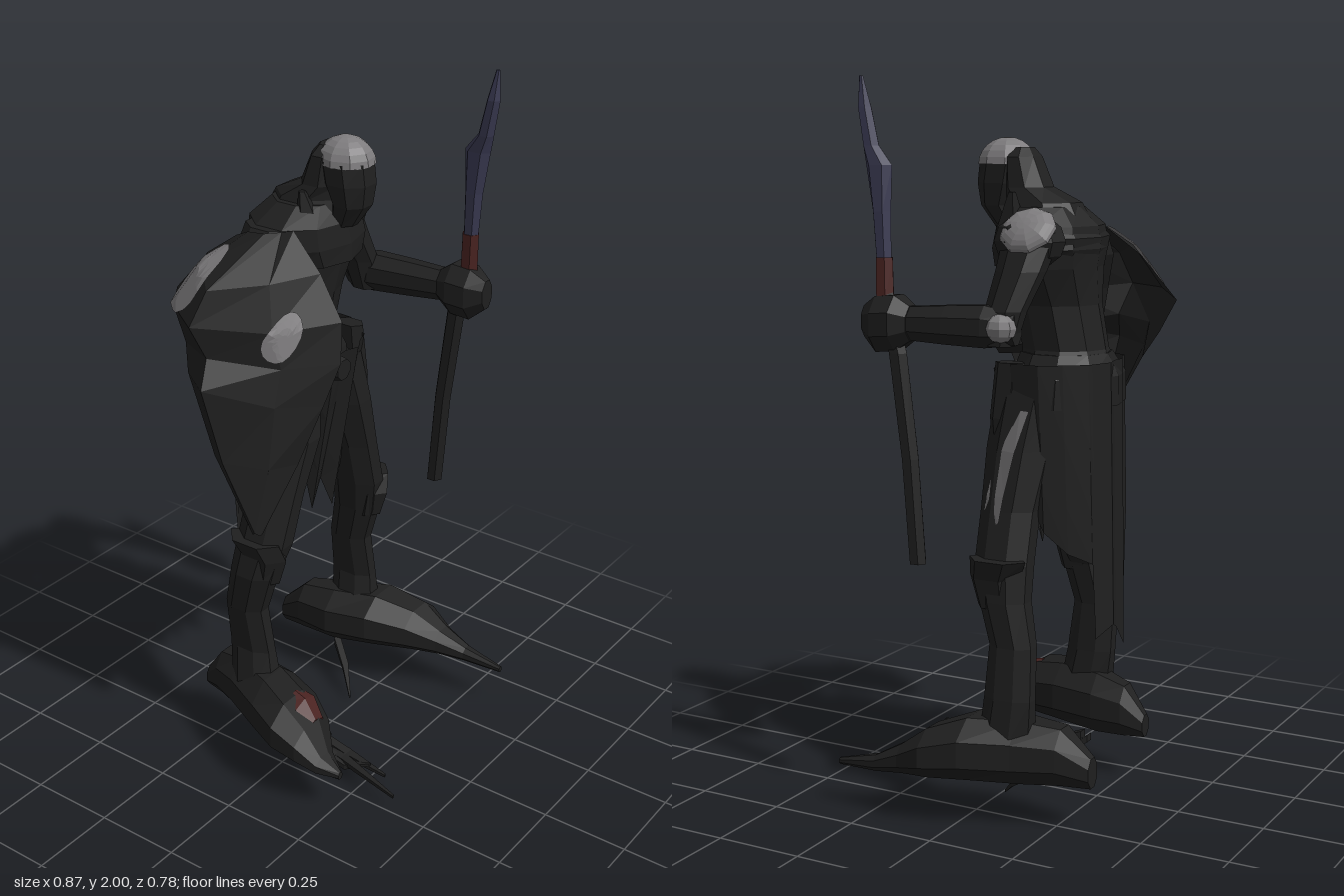
import * as THREE from 'three';

const mat = (name, color, side = THREE.FrontSide) => {
  const m = new THREE.MeshStandardMaterial({ color, side });
  m.name = name;
  return m;
};

export function createModel() {
  const dark = mat('charcoal', 0x1f1f1f);
  const cloth = mat('charcoal cloth', 0x1f1f1f, THREE.DoubleSide);
  const grey = mat('pale grey', 0x7e7c7e, THREE.DoubleSide);
  const steel = mat('blue steel', 0x3a3a52);
  const rust = mat('rust', 0x4a2321);
  const root = new THREE.Group();
  root.name = 'cloakedWarrior';

  // Faceted mesh from points and indices; closed forms are turned outward
  function facet(name, pts, idx, material, closed) {
    const v = pts.map(p => new THREE.Vector3(...p));
    let volume = 0;
    for (let i = 0; i < idx.length; i += 3)
      volume += v[idx[i]].dot(v[idx[i + 1]].clone().cross(v[idx[i + 2]]));
    if (closed && volume < 0) idx.reverse();
    const indexed = new THREE.BufferGeometry().setFromPoints(v);
    indexed.setIndex(idx);
    const g = indexed.toNonIndexed();
    g.computeVertexNormals();
    const mesh = new THREE.Mesh(g, material);
    mesh.name = name;
    root.add(mesh);
  }

  // Closed loft through elliptical rings [x, y, z, radiusA, radiusB]
  function loft(name, rings, material = dark, axis = 'y', sides = 8) {
    const pts = [], idx = [];
    for (const [x, y, z, a, b = a] of rings)
      for (let i = 0; i < sides; i++) {
        const t = (i + 0.5) / sides * Math.PI * 2, c = a * Math.cos(t), s = b * Math.sin(t);
        pts.push(axis === 'y' ? [x + c, y, z + s] : [x + c, y + s, z]);
      }
    for (let r = 0; r < rings.length - 1; r++)
      for (let i = 0; i < sides; i++) {
        const a = r * sides + i, b = r * sides + (i + 1) % sides;
        idx.push(a, b, a + sides, b, b + sides, a + sides);
      }
    const last = (rings.length - 1) * sides;
    for (let i = 1; i < sides - 1; i++)
      idx.push(0, i + 1, i, last, last + i, last + i + 1);
    facet(name, pts, idx, material, true);
  }

  // Open sheet through rows of points
  function sheet(name, rows, material = cloth) {
    const n = rows[0].length, idx = [];
    for (let r = 0; r < rows.length - 1; r++)
      for (let c = 0; c < n - 1; c++) {
        const a = r * n + c;
        idx.push(a, a + n, a + 1, a + 1, a + n, a + n + 1);
      }
    facet(name, rows.flat(), idx, material, false);
  }

  function ball(name, x, y, z, sx, sy, sz, material, theta = Math.PI) {
    const g = new THREE.SphereGeometry(1, 9, 6, 0, Math.PI * 2, 0, theta);
    g.scale(sx, sy, sz);
    const flat = g.toNonIndexed();
    flat.computeVertexNormals();
    const m = new THREE.Mesh(flat, material);
    m.position.set(x, y, z);
    m.name = name;
    root.add(m);
    return m;
  }

  // Head, skull cap and cowl
  loft('face', [[.05, 1.6, .0, .035, .04], [.055, 1.66, .025, .06, .055], [.055, 1.72, .015, .07, .075], [.055, 1.78, .005, .07, .078]]);
  ball('skullCap', .055, 1.77, .005, .074, .072, .082, grey, Math.PI / 2);
  loft('hood', [[.055, 1.58, -.12, .13, .14], [.055, 1.67, -.105, .095, .105], [.055, 1.71, -.06, .08, .065], [.055, 1.79, -.045, .07, .045], [.055, 1.815, -.045, .04, .025]]);
  loft('cowl', [[.045, 1.5, -.11, .15, .14], [.045, 1.55, -.12, .18, .15], [.04, 1.61, -.12, .17, .14], [.05, 1.66, -.11, .11, .1]], dark, 'y', 10);
  for (const [x, tip] of [[-.02, -.04], [.14, .17]])
    loft('collarPoint', [[x, 1.58, -.05, .05, .05], [tip, 1.7, -.07, .01]], dark, 'y', 5);

  // Torso and hips
  loft('torso', [[.02, 1.1, -.15, .15, .13], [.02, 1.19, -.17, .17, .14], [.03, 1.28, -.16, .115, .12], [.035, 1.4, -.14, .12, .12],
    [.045, 1.5, -.13, .16, .13], [.04, 1.58, -.14, .18, .13], [.045, 1.63, -.13, .13, .1]], dark, 'y', 10);
  loft('belt', [[.02, 1.13, -.16, .185, .155], [.02, 1.21, -.165, .18, .15], [.025, 1.27, -.16, .13, .125]], dark, 'y', 10);

  // Ragged cloth: columns of [x, z, lower edge]
  const drape = (name, top, flare, cols) => sheet(name, [0, .4, .75, 1].map(t =>
    cols.map(([x, z, low], i) => [x * (1 - .06 * t) + .004 * t, top + (low - top) * t, z + flare * t + (i % 2 ? .014 : 0)])));
  drape('backCloth', 1.25, -.015, [[-.16, -.12, .95], [-.15, -.2, .78], [-.11, -.27, .84], [-.08, -.29, .54], [-.035, -.3, .45],
    [.01, -.31, .51], [.06, -.31, .53], [.125, -.3, .5], [.135, -.28, .71], [.18, -.24, .74], [.215, -.17, .8], [.21, -.1, .95]]);
  drape('frontCloth', 1.23, -.09, [[-.03, -.015, .95], [.0, .0, .72], [.05, .01, .8], [.09, .01, .7], [.13, .0, .78], [.175, -.03, .74], [.19, -.07, .9]]);
  loft('hipPouch', [[.185, .98, -.06, .025, .04], [.185, 1.1, -.06, .035, .05], [.18, 1.25, -.07, .03, .045]], dark, 'y', 6);

  // Legs with knee guards
  loft('rightLeg', [[-.235, .25, -.1, .06, .08], [-.225, .36, -.12, .042, .075], [-.235, .5, -.13, .047, .068], [-.235, .62, -.1, .055, .075],
    [-.21, .72, -.08, .065, .085], [-.17, .86, -.07, .06, .085], [-.115, 1.02, -.07, .075, .1], [-.09, 1.18, -.1, .085, .11]]);
  loft('leftLeg', [[.29, .25, -.12, .06, .08], [.295, .36, -.13, .042, .075], [.275, .5, -.13, .047, .068], [.265, .62, -.1, .055, .075],
    [.25, .72, -.09, .06, .085], [.215, .86, -.09, .06, .085], [.17, 1.02, -.1, .075, .1], [.13, 1.18, -.12, .085, .11]]);
  for (const [x, s] of [[-.225, -1], [.27, 1]])
    loft('kneeGuard', [[x, .6, -.08, .045, .06], [x, .68, -.07, .055, .075], [x + s * .02, .735, -.09, .055, .085]], dark, 'y', 6);
  sheet('thighPlate', [[[.255, .81, -.025], [.284, .83, -.09]], [[.25, .9, -.035], [.275, .9, -.1]],
    [[.237, 1.02, -.07], [.26, 1.02, -.125]], [[.226, 1.13, -.125], [.234, 1.13, -.155]]], grey);

  // Heavy feet, heels turned inward
  loft('rightFoot', [[-.195, .16, -.31, .025, .035], [-.195, .2, -.25, .055, .08], [-.21, .21, -.16, .08, .095], [-.25, .215, -.03, .108, .095], [-.285, .205, .07, .115, .085],
    [-.305, .18, .15, .09, .06], [-.325, .14, .21, .045, .03], [-.33, .125, .27, .01, .012]], dark, 'z');
  loft('leftFoot', [[.235, .165, -.35, .03, .045], [.245, .205, -.27, .065, .085], [.265, .21, -.16, .095, .095], [.31, .215, -.03, .112, .095],
    [.35, .195, .08, .09, .075], [.365, .165, .16, .05, .045], [.38, .14, .24, .025, .025], [.385, .125, .36, .008, .01]], dark, 'z');
  loft('rightFootPatch', [[-.262, .26, .06, .04, .03], [-.268, .25, .1, .05, .032], [-.285, .213, .15, .04, .027]], rust, 'z', 6);

  // Thin flat talons below the feet
  const talons = [
    [[-.2, .1, -.02], [-.19, .06, .18], [-.24, .05, .39]], [[-.18, .1, .05], [-.165, .06, .18], [-.165, .04, .31]],
    [[-.22, .1, .05], [-.2, .05, .2], [-.17, .06, .26]], [[-.15, .11, -.15], [-.11, .06, -.08], [-.065, .006, -.02]],
    [[-.17, .11, -.12], [-.12, .08, .0], [-.09, .03, .06]], [[.23, .12, -.15], [.18, .07, -.08], [.12, .015, -.02]]];
  for (const [a, b, c] of talons)
    loft('talon', [[...a, .02, .016], [...b, .02, .011], [...c, .005, .006]], dark, 'z', 4);

  // Spear arm
  loft('leftUpperArm', [[.31, 1.31, -.11, .035, .045], [.295, 1.4, -.12, .047, .058], [.25, 1.5, -.14, .055, .07], [.2, 1.6, -.15, .06, .08]]);
  loft('leftForearm', [[.31, 1.355, -.16, .03, .045], [.32, 1.36, -.08, .05, .06], [.335, 1.36, .03, .045, .055], [.35, 1.36, .15, .038, .047]], dark, 'z');
  loft('leftHand', [[.35, 1.36, .13, .04, .05], [.353, 1.36, .17, .065, .08], [.353, 1.355, .23, .06, .08], [.35, 1.36, .275, .028, .045]], dark, 'z');
  ball('elbowPlate', .335, 1.358, -.125, .036, .038, .046, grey);
  ball('shoulder', .2, 1.575, -.14, .08, .075, .1, dark);
  const pauldron = ball('pauldron', .233, 1.602, -.152, .074, .035, .08, grey, Math.PI / 2);
  pauldron.rotation.z = -.85;

  // Shield arm
  loft('rightUpperArm', [[-.25, 1.32, -.08, .05], [-.22, 1.42, -.1, .06], [-.15, 1.52, -.12, .07, .09], [-.09, 1.61, -.13, .06, .08]]);
  loft('rightForearm', [[-.25, 1.34, -.12, .04], [-.22, 1.33, -.04, .055], [-.15, 1.28, .05, .05], [-.11, 1.26, .12, .03]], dark, 'z');

  // Spear
  loft('spearShaft', [[.375, .72, .105, .024, .025], [.365, 1.0, .132, .024, .026], [.36, 1.28, .17, .025, .028], [.353, 1.44, .21, .02, .023]], dark, 'y', 6);
  loft('spearCollar', [[.353, 1.42, .212, .026, .027], [.347, 1.53, .217, .024, .026]], rust, 'y', 6);
  loft('spearBlade', [[.347, 1.52, .218, .02, .023], [.343, 1.65, .225, .024, .028], [.338, 1.77, .235, .023, .04],
    [.333, 1.82, .262, .022, .024], [.328, 1.92, .284, .019, .02], [.331, 2.0, .292, .003, .006]], steel, 'y', 6);

  // Wrapped shield: rows of back edge, back face, outer edge, front face, front edge
  const rows = [
    [[-.17, 1.59, -.19], [-.195, 1.62, -.13], [-.215, 1.635, -.06], [-.18, 1.635, -.03], [-.13, 1.625, -.03]],
    [[-.17, 1.52, -.29], [-.29, 1.54, -.21], [-.37, 1.51, -.13], [-.26, 1.52, -.01], [-.12, 1.52, .05]],
    [[-.185, 1.4, -.392], [-.325, 1.42, -.285], [-.42, 1.42, -.15], [-.29, 1.4, .02], [-.12, 1.4, .12]],
    [[-.19, 1.31, -.34], [-.32, 1.32, -.25], [-.39, 1.33, -.12], [-.28, 1.3, .04], [-.14, 1.29, .13]],
    [[-.23, 1.23, -.27], [-.35, 1.25, -.22], [-.44, 1.26, -.1], [-.31, 1.2, .04], [-.19, 1.18, .11]],
    [[-.3, 1.03, -.13], [-.37, 1.04, -.12], [-.41, 1.05, -.06], [-.34, 1.03, .04], [-.25, 1.02, .07]],
    [[-.37, .84, .01], [-.375, .84, .01], [-.38, .85, .02], [-.37, .84, .03], [-.36, .84, .03]]];
  sheet('shield', rows);

  // Pale ovals laid just above the shield surface
  function oval(name, u, v, ru, rv, tilt) {
    const at = (s, t) => {
      const i = Math.min(3, Math.floor(s)), j = Math.min(5, Math.floor(t));
      const P = (r, c) => new THREE.Vector3(...rows[r][c]);
      const p = P(j, i).lerp(P(j, i + 1), s - i).lerp(P(j + 1, i).lerp(P(j + 1, i + 1), s - i), t - j);
      const out = new THREE.Vector3(p.x + .12, (p.y - 1.35) * .4, p.z + .1).normalize();
      return p.addScaledVector(out, .009).toArray();
    };
    const rings = [];
    for (let r = 0; r <= 4; r++) {
      rings.push([]);
      for (let i = 0; i <= 16; i++) {
        const a = i / 16 * Math.PI * 2, k = r / 4;
        const du = ru * k * Math.cos(a), dv = rv * k * Math.sin(a);
        rings[r].push(at(u + du + tilt * dv, v + dv));
      }
    }
    sheet(name, rings, grey);
  }
  oval('shieldBackOval', 1.12, 1.22, .6, .84, 0);
  oval('shieldFrontOval', 3.12, 2.2, .26, .6, -.3);
  return root;
}
